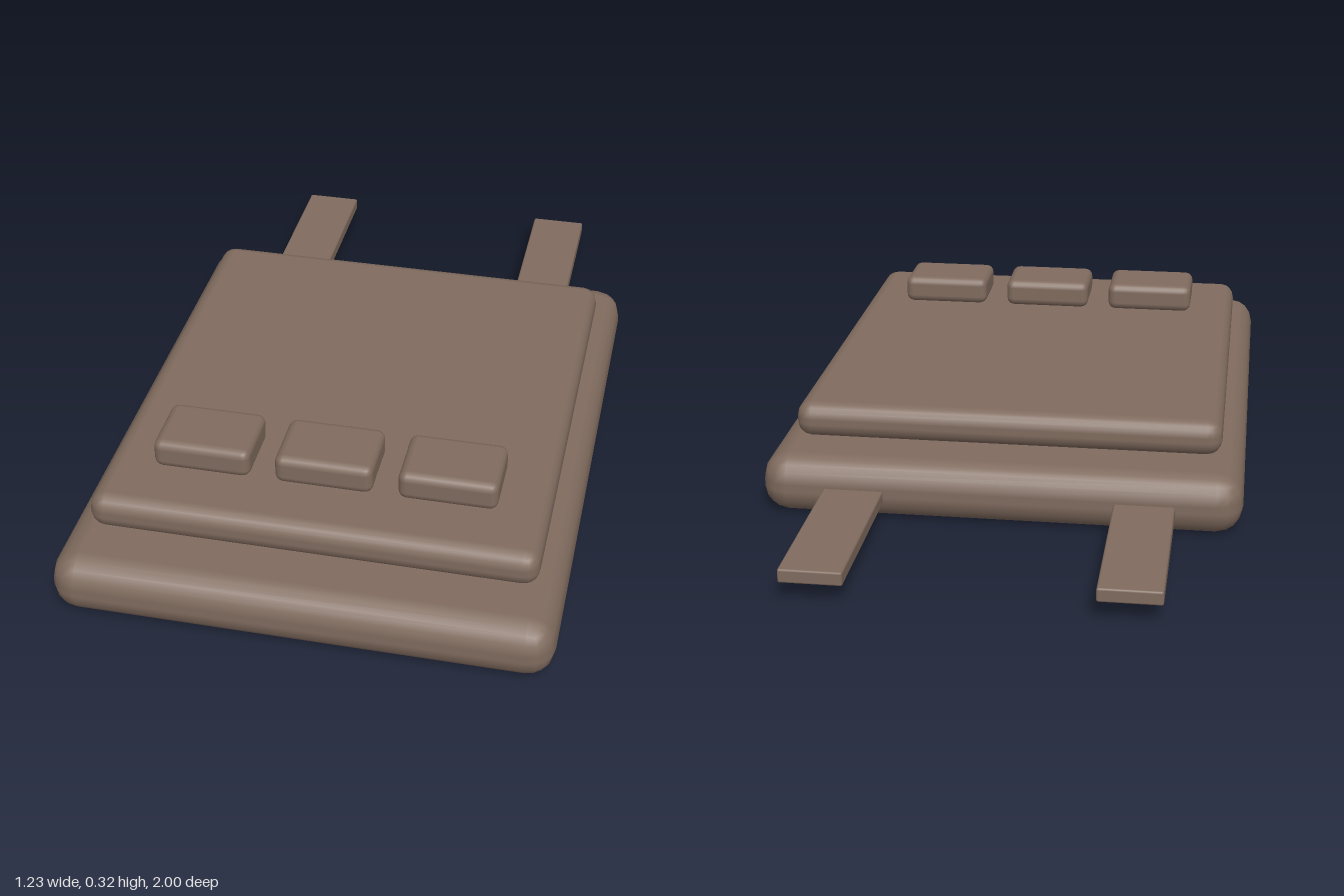
import * as THREE from 'three';
import { RoundedBoxGeometry } from 'three/addons/geometries/RoundedBoxGeometry.js';

export function createModel() {
  const model = new THREE.Group();
  const brown = new THREE.MeshStandardMaterial({ color: 0x806b5e });
  brown.name = 'brown cloth';

  // Rounded block given by its extents on each axis
  function block(name, [x0, x1], [y0, y1], [z0, z1], radius, segments) {
    const geometry = new RoundedBoxGeometry(x1 - x0, y1 - y0, z1 - z0, segments, radius);
    const mesh = new THREE.Mesh(geometry, brown);
    mesh.name = name;
    mesh.position.set((x0 + x1) / 2, (y0 + y1) / 2, (z0 + z1) / 2);
    model.add(mesh);
  }

  // Padded base and the thinner panel on top of it
  block('base', [-0.615, 0.615], [0, 0.155], [-0.54, 1], 0.068, 2);
  block('topPanel', [-0.555, 0.555], [0.153, 0.247], [-0.385, 0.845], 0.04, 2);

  // Row of three pouches near the front
  ['rightPouch', 'middlePouch', 'leftPouch'].forEach((name, i) => {
    const x = (i - 1) * 0.308;
    block(name, [x - 0.123, x + 0.123], [0.246, 0.323], [0.51, 0.69], 0.022, 2);
  });

  // Flat straps reaching out from the back edge
  for (const [name, side] of [['leftStrap', 1], ['rightStrap', -1]]) {
    const x = side * 0.37;
    block(name, [x - 0.077, x + 0.077], [0.048, 0.083], [-1, -0.5], 0.005, 1);
  }
  return model;
}
